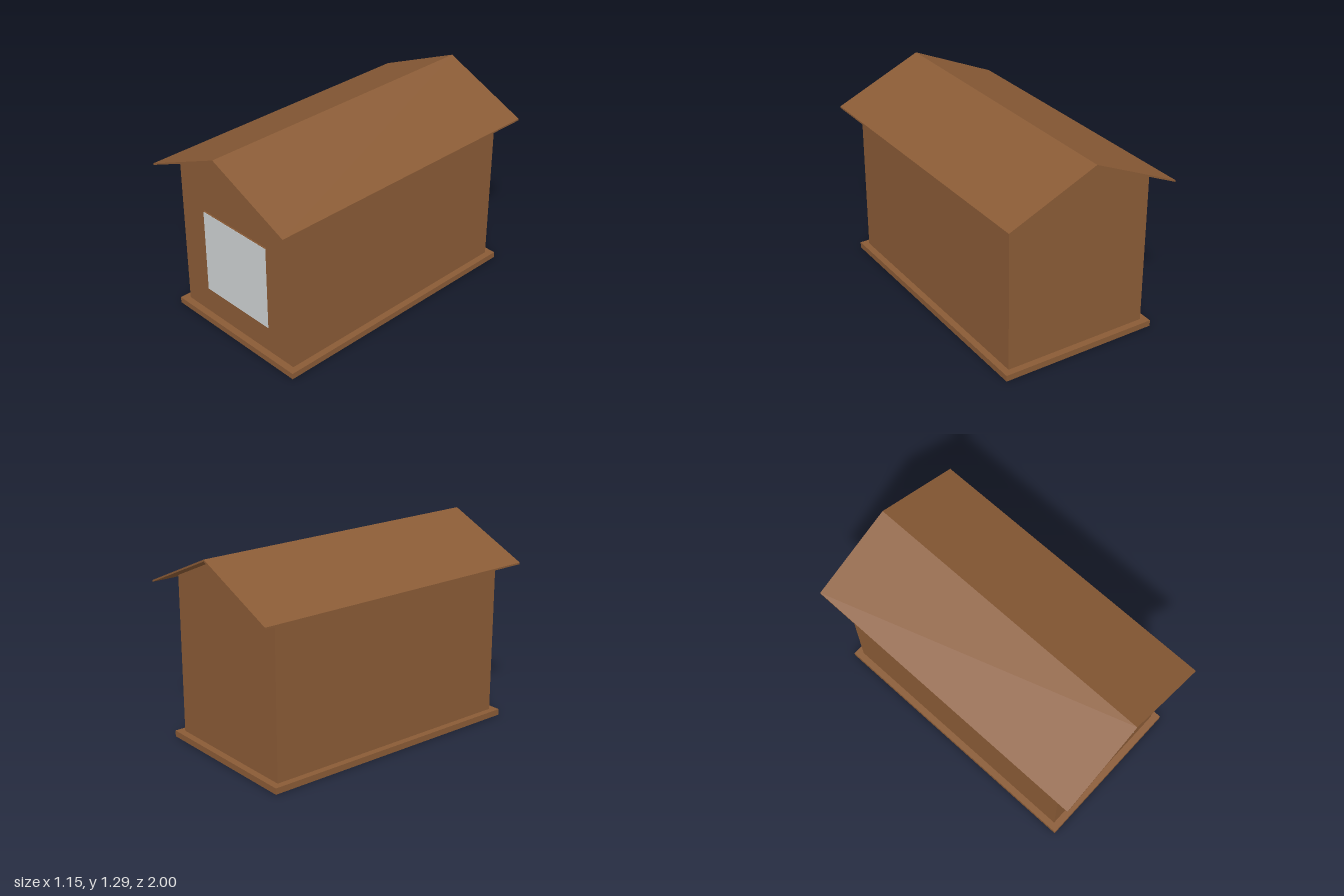
import * as THREE from 'three';

export function createModel() {
  const model = new THREE.Group();
  const wood = new THREE.MeshStandardMaterial({ color: 0x8a5b36 });
  wood.name = 'brownWood';
  const pane = new THREE.MeshStandardMaterial({ color: 0xcdd1d2 });
  pane.name = 'paleGrey';

  const add = (name, geometry, material, x = 0, y = 0, z = 0) => {
    const mesh = new THREE.Mesh(geometry, material);
    mesh.name = name;
    mesh.position.set(x, y, z);
    model.add(mesh);
  };

  // Extrudes an outline in x and y along z, centred on z = 0
  const prism = (points, depth) => {
    const shape = new THREE.Shape(points.map(([x, y]) => new THREE.Vector2(x, y)));
    return new THREE.ExtrudeGeometry(shape, { depth, bevelEnabled: false }).translate(0, 0, -depth / 2);
  };

  // Floor slab
  add('base', new THREE.BoxGeometry(1.06, 0.04, 1.83), wood, 0, 0.02, 0);

  // Gabled body
  add('walls', prism([[-0.487, 0.04], [0.487, 0.04], [0.487, 1.066], [0, 1.281], [-0.487, 1.066]], 1.74), wood);

  // Thin pitched roof overhanging on all sides
  add('roof', prism([
    [-0.575, 1.027], [0, 1.28], [0.575, 1.027],
    [0.575, 1.038], [0, 1.292], [-0.575, 1.038],
  ], 2), wood);

  // Front opening: thin wooden backing with a pale panel
  add('windowFrame', new THREE.BoxGeometry(0.564, 0.568, 0.006), wood, 0, 0.498, 0.873);
  add('windowPane', new THREE.BoxGeometry(0.558, 0.56, 0.002), pane, 0, 0.498, 0.877);

  return model;
}
